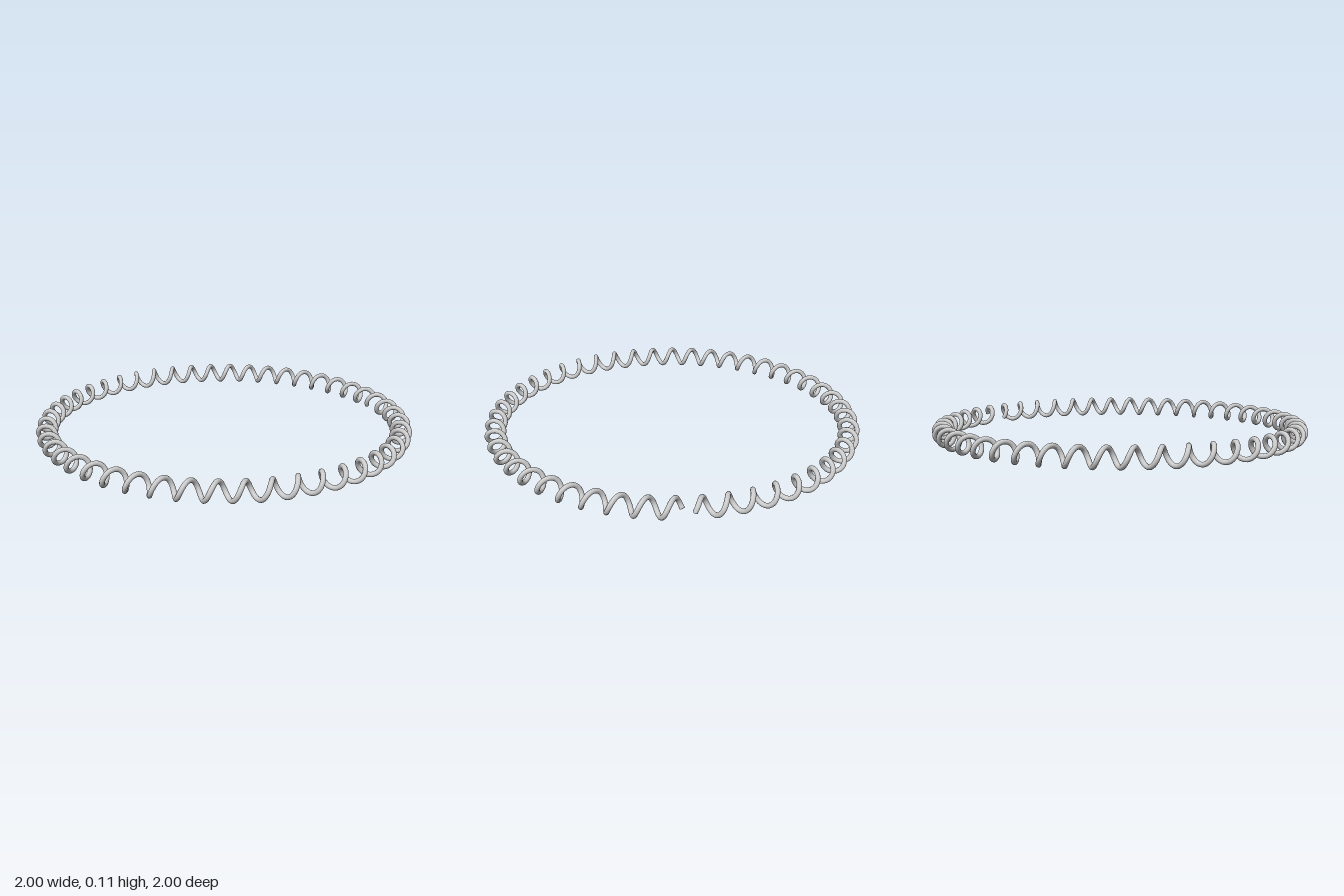
import * as THREE from 'three';

const RING = 0.943;   // radius of the big circle
const COIL = 0.0445;  // radius of each winding
const WIRE = 0.0125;  // radius of the wire
const TURNS = 48;     // windings in a full circle
const SWEEP = THREE.MathUtils.degToRad(357); // leaves a small gap

// Helix wound around a horizontal circle
class RingHelix extends THREE.Curve {
  getPoint(t, target = new THREE.Vector3()) {
    const u = t * SWEEP;
    const v = u * TURNS;
    const r = RING + COIL * Math.cos(v);
    return target.set(r * Math.cos(u), COIL + WIRE + COIL * Math.sin(v), -r * Math.sin(u));
  }
  // Windings are even, so no arc-length table is needed
  getPointAt(t, target) { return this.getPoint(t, target); }
  getTangentAt(t, target) { return this.getTangent(t, target); }
}

export function createModel() {
  const group = new THREE.Group();
  group.name = 'coiledRing';
  const material = new THREE.MeshStandardMaterial({ color: 0xcccccc });
  const path = new RingHelix();

  // Coiled wire
  const wire = new THREE.Mesh(new THREE.TubeGeometry(path, TURNS * 28, WIRE, 12, false), material);
  wire.name = 'coiledWire';
  group.add(wire);

  // Flat discs closing the two wire ends
  for (const [name, t, dir] of [['startCap', 0, -1], ['endCap', 1, 1]]) {
    const cap = new THREE.Mesh(new THREE.CircleGeometry(WIRE, 12), material);
    cap.name = name;
    cap.position.copy(path.getPoint(t));
    const outward = path.getTangent(t).multiplyScalar(dir);
    cap.quaternion.setFromUnitVectors(new THREE.Vector3(0, 0, 1), outward);
    group.add(cap);
  }
  return group;
}
